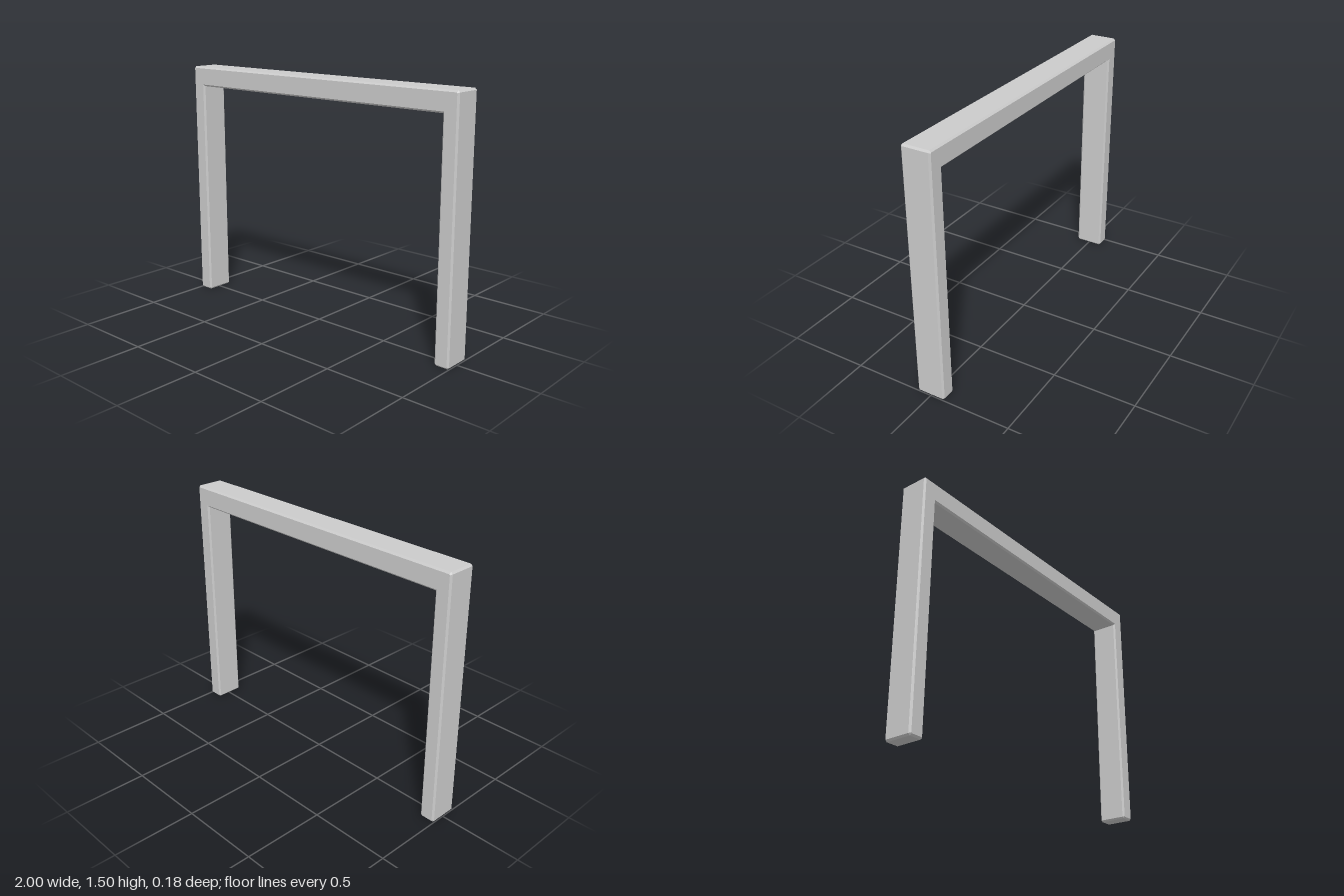
import * as THREE from 'three';

const HEIGHT = 1.5, HALF_WIDTH = 1, DEPTH = 0.175;
const INNER_X = 0.907, BEAM_BOTTOM = 1.378, CHAMFER = 0.01;

export function createModel() {
  const model = new THREE.Group();
  model.name = 'portalFrame';

  // Right half of the arch outline, from inner corner round to the top; outer corners are chamfered
  const c = CHAMFER;
  const half = [
    [INNER_X, BEAM_BOTTOM],
    [INNER_X, c], [INNER_X + c, 0],
    [HALF_WIDTH - c, 0], [HALF_WIDTH, c],
    [HALF_WIDTH, HEIGHT - c], [HALF_WIDTH - c, HEIGHT],
  ];
  const mirrored = half.map(([x, y]) => [-x, y]).reverse();
  const outline = new THREE.Shape([...half, ...mirrored].map(([x, y]) => new THREE.Vector2(x, y)));

  // Two legs and top beam as one piece, with chamfered front and back edges
  const geometry = new THREE.ExtrudeGeometry(outline, {
    depth: DEPTH - 2 * c,
    bevelEnabled: true,
    bevelSegments: 1,
    bevelThickness: c,
    bevelSize: c,
    bevelOffset: -c,
  });
  geometry.translate(0, 0, -DEPTH / 2 + c);

  const frame = new THREE.Mesh(geometry, new THREE.MeshStandardMaterial({ color: 0xcccccc, flatShading: true }));
  frame.name = 'legsAndBeam';
  model.add(frame);
  return model;
}
